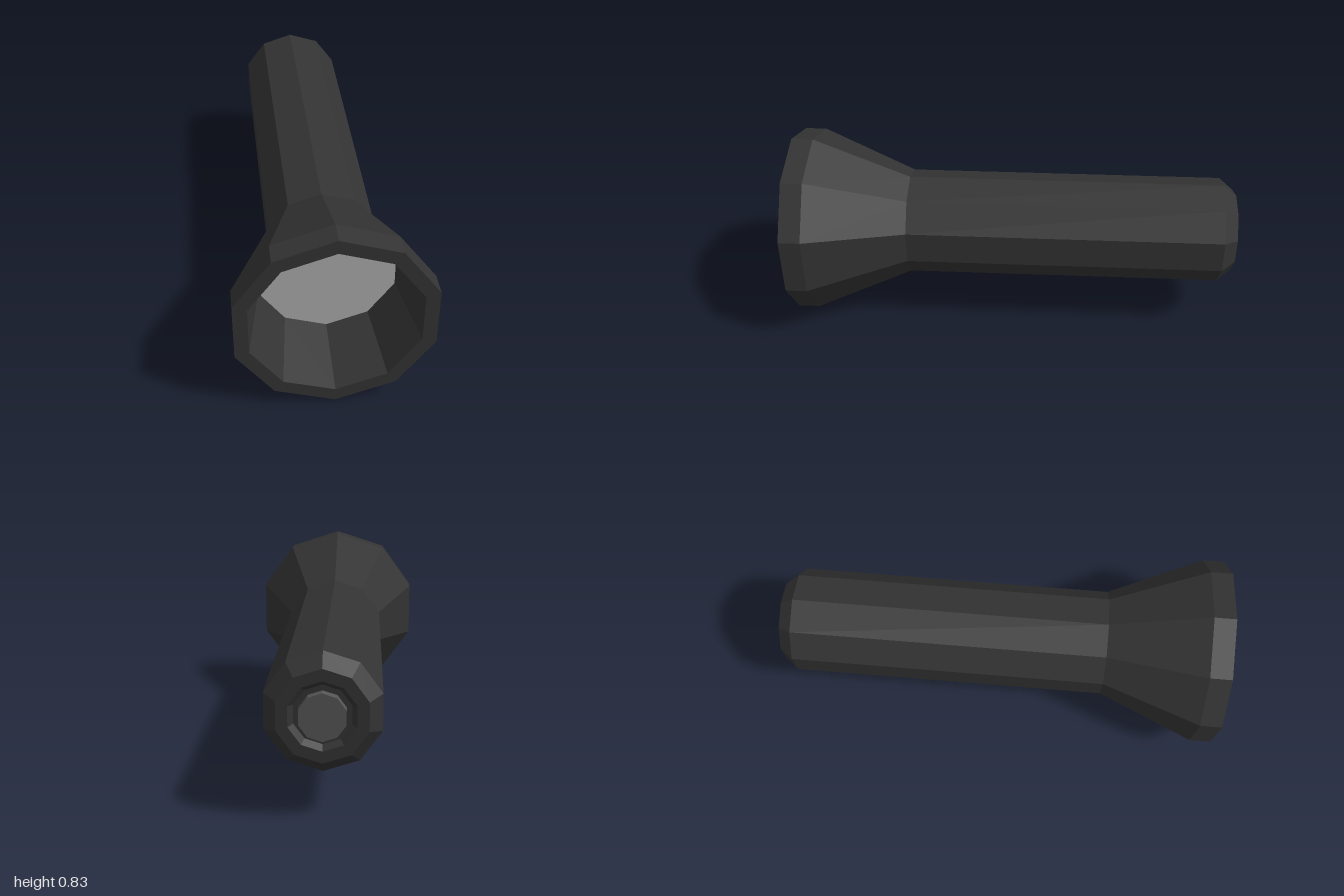
import * as THREE from 'three';

const SIDES = 10;

// Spins a [radius, z] profile, listed from tail to front, around the z axis
function turned(name, profile, color) {
  const geometry = new THREE.LatheGeometry(profile.map(([r, z]) => new THREE.Vector2(r, z)), SIDES);
  geometry.rotateX(Math.PI / 2);
  const material = new THREE.MeshStandardMaterial({ color, flatShading: true });
  const mesh = new THREE.Mesh(geometry, material);
  mesh.name = name;
  return mesh;
}

export function createModel() {
  const torch = new THREE.Group();
  torch.name = 'flashlight';

  // Handle with chamfered tail and a shallow recess for the button
  torch.add(turned('handle', [
    [0, -0.96], [0.115, -0.96], [0.135, -0.987], [0.182, -0.987],
    [0.235, -0.925], [0.235, 0.48],
  ], 0x333333));

  // Flared head, front rim and the reflector wall inside it
  torch.add(turned('head', [
    [0.235, 0.48], [0.415, 0.905], [0.415, 1], [0.355, 1], [0.297, 0.69],
  ], 0x333333));

  // Tail button
  torch.add(turned('tailButton', [[0, -1], [0.093, -1], [0.093, -0.96]], 0x555555));

  // Lens at the bottom of the reflector
  const lens = new THREE.Mesh(
    new THREE.CircleGeometry(0.297, SIDES, Math.PI / 2),
    new THREE.MeshStandardMaterial({ color: 0xaaaaaa, side: THREE.DoubleSide }),
  );
  lens.name = 'lens';
  lens.position.z = 0.69;
  torch.add(lens);

  // Rest the head on the ground
  torch.position.y = 0.415;
  const model = new THREE.Group();
  model.add(torch);
  return model;
}
